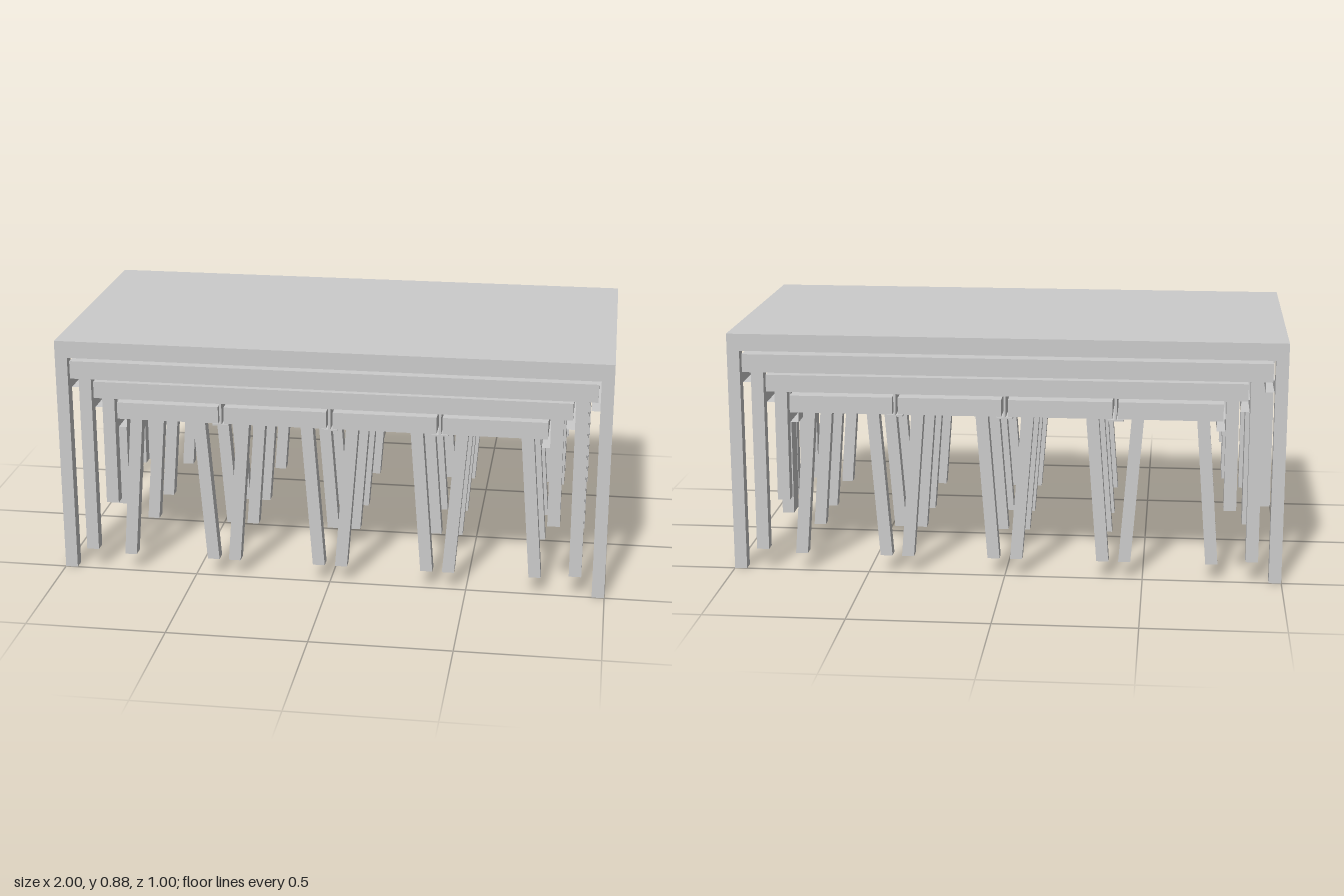
import * as THREE from 'three';

const material = new THREE.MeshStandardMaterial({ color: 0xcccccc, flatShading: true });
const openMaterial = new THREE.MeshStandardMaterial({ color: 0xcccccc, flatShading: true, side: THREE.DoubleSide });
const LEG = 0.045;
const FRONT = 0.5;

// Box given by its two extents on each axis
function box(parent, name, [x0, x1], [y0, y1], [z0, z1]) {
  const geometry = new THREE.BoxGeometry(x1 - x0, y1 - y0, z1 - z0);
  const mesh = new THREE.Mesh(geometry, material);
  mesh.name = name;
  mesh.position.set((x0 + x1) / 2, (y0 + y1) / 2, (z0 + z1) / 2);
  parent.add(mesh);
  return mesh;
}

// Hollow slide rail, open at both ends
function rail(parent, xs, ys, zs) {
  const mesh = box(parent, 'slideRail', xs, ys, zs);
  mesh.geometry.setIndex(Array.from(mesh.geometry.index.array.slice(0, 24)));
  mesh.geometry.clearGroups();
  mesh.material = openMaterial;
}

// Table with a slab top, four corner legs and a slide rail inside each side
function table(name, { top, legX, zs, foot, under, height, railY }) {
  const group = new THREE.Group();
  group.name = name;
  box(group, 'tableTop', [-top, top], [under, height], zs);
  for (const side of [-1, 1]) {
    const span = (a, b) => (side > 0 ? [a, b] : [-b, -a]);
    for (const z of [zs[0], zs[1] - LEG]) {
      box(group, 'tableLeg', span(legX - LEG, legX), [foot, under], [z, z + LEG]);
    }
    rail(group, span(legX - LEG - 0.031, legX - LEG), railY, [zs[0] + LEG, zs[1] - LEG]);
  }
  return group;
}

// Stool with legs that splay sideways
function stool(x, zs) {
  const group = new THREE.Group();
  group.name = 'stool';
  group.position.x = x;
  const under = 0.597, foot = 0.065;
  box(group, 'stoolSeat', [-0.186, 0.186], [under, 0.659], zs);
  for (const side of [-1, 1]) {
    for (const z of [zs[0], zs[1] - LEG]) {
      const leg = box(group, 'stoolLeg', [-0.022, 0.022], [foot, under], [z, z + LEG]);
      const p = leg.geometry.attributes.position;
      for (let i = 0; i < p.count; i++) {
        p.setX(i, p.getX(i) + side * (p.getY(i) > 0 ? 0.116 : 0.157));
      }
      leg.geometry.computeVertexNormals();
    }
  }
  return group;
}

export function createModel() {
  const model = new THREE.Group();
  model.name = 'nestingTables';

  // Large table over everything
  model.add(table('largeTable', {
    top: 1, legX: 1, zs: [-FRONT, FRONT], foot: 0, under: 0.82, height: 0.882, railY: [0.695, 0.74],
  }));

  // Front and back halves mirror each other
  for (const half of [1, -1]) {
    const depth = (inner) => (half > 0 ? [inner, FRONT] : [-FRONT, -inner]);

    model.add(table('middleTable', {
      top: 0.947, legX: 0.915, zs: depth(0), foot: 0.077, under: 0.742, height: 0.808, railY: [0.622, 0.667],
    }));

    const low = table('smallTable', {
      top: 0.862, legX: 0.831, zs: depth(0.035), foot: 0.268, under: 0.672, height: 0.734, railY: [0.549, 0.594],
    });
    model.add(low);

    // T-shaped hangers between the stools
    for (const x of [-0.396, 0, 0.396]) {
      box(low, 'hangerStem', [x - 0.004, x + 0.004], [0.594, 0.672], depth(0.035));
      box(low, 'hangerPlate', [x - 0.029, x + 0.029], [0.589, 0.595], depth(0.035));
    }

    for (const x of [-0.591, -0.198, 0.198, 0.591]) model.add(stool(x, depth(0.1)));
  }
  return model;
}
